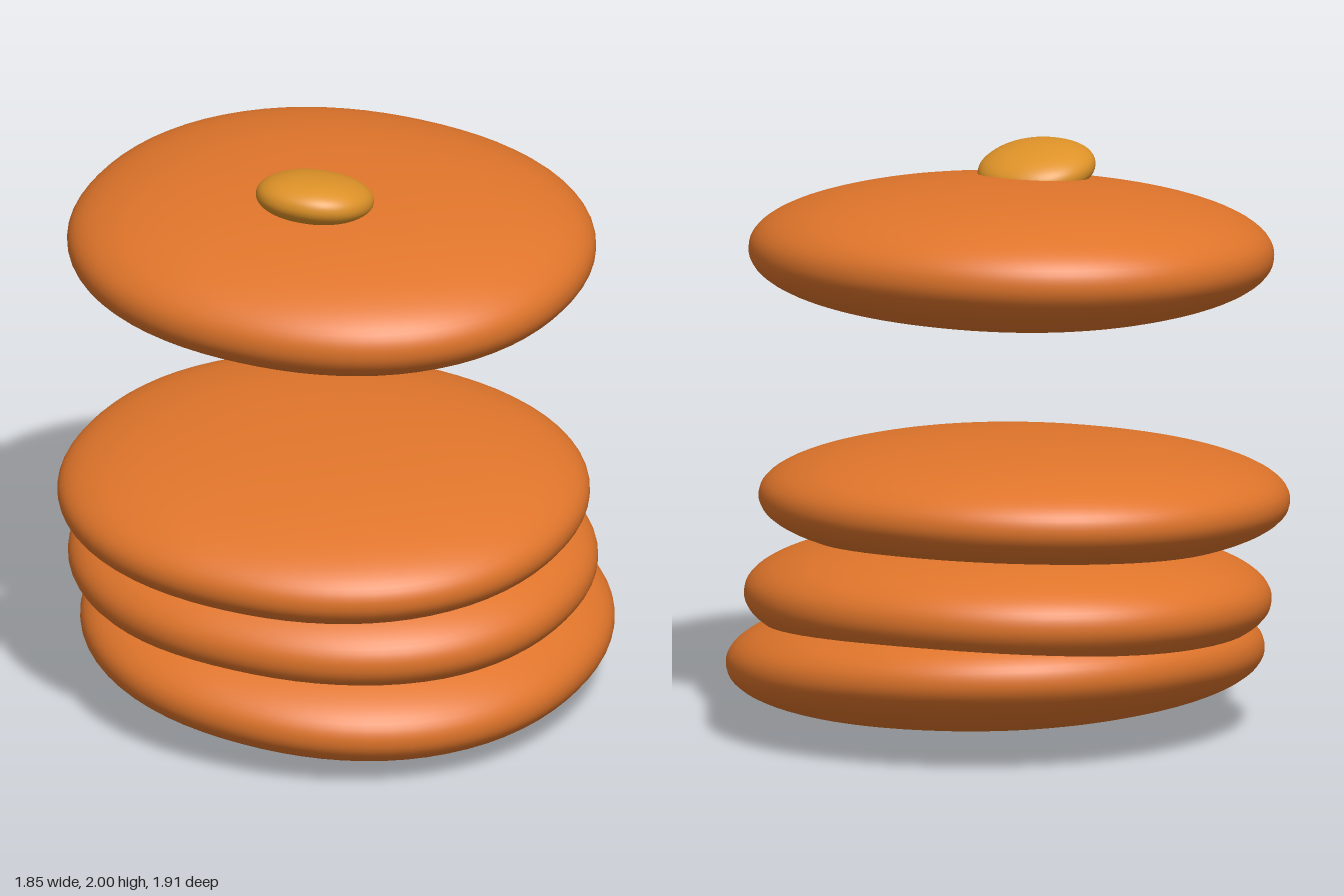
import * as THREE from 'three';

const batter = new THREE.MeshStandardMaterial({ color: 0xe0752b });
const butterMat = new THREE.MeshStandardMaterial({ color: 0xde9228 });

// A sphere swelled slightly towards a box, with half sizes a, b, c
function softPuck(a, b, c, power = 2.16) {
  const geo = new THREE.SphereGeometry(1, 72, 48);
  const pos = geo.attributes.position;
  const nor = geo.attributes.normal;
  const p = new THREE.Vector3();
  const slope = (t) => Math.sign(t) * Math.abs(t) ** (power - 1);
  for (let i = 0; i < pos.count; i++) {
    p.fromBufferAttribute(pos, i);
    const len = (Math.abs(p.x) ** power + Math.abs(p.y) ** power + Math.abs(p.z) ** power) ** (1 / power);
    p.divideScalar(len);
    pos.setXYZ(i, p.x * a, p.y * b, p.z * c);
    // smooth normal from the gradient of the surface
    p.set(slope(p.x) / a, slope(p.y) / b, slope(p.z) / c).normalize();
    nor.setXYZ(i, p.x, p.y, p.z);
  }
  return geo;
}

function addPuck(group, name, material, size, position, tiltX, tiltZ) {
  const mesh = new THREE.Mesh(softPuck(...size), material);
  mesh.name = name;
  mesh.position.set(...position);
  mesh.rotation.set(tiltX, 0, tiltZ);
  group.add(mesh);
}

export function createModel() {
  const group = new THREE.Group();
  group.name = 'pancakeStack';

  // Pancakes from the bottom up: half sizes, centre, tilts
  const pancakes = [
    ['bottomPancake', [0.893, 0.24, 0.91], [0.032, 0.255, -0.045], 0.053, -0.07],
    ['secondPancake', [0.902, 0.24, 0.832], [-0.028, 0.47, -0.057], 0.053, -0.026],
    ['thirdPancake', [0.902, 0.225, 0.853], [0.012, 0.781, 0.102], 0.053, -0.026],
    ['floatingPancake', [0.902, 0.248, 0.822], [-0.012, 1.654, -0.012], 0.048, -0.022],
  ];
  for (const [name, size, position, tiltX, tiltZ] of pancakes) {
    addPuck(group, name, batter, size, position, tiltX, tiltZ);
  }

  // Pat of butter sunk into the top
  addPuck(group, 'butter', butterMat, [0.2, 0.083, 0.192], [0.02, 1.908, 0.188], -0.2, 0);

  return group;
}
